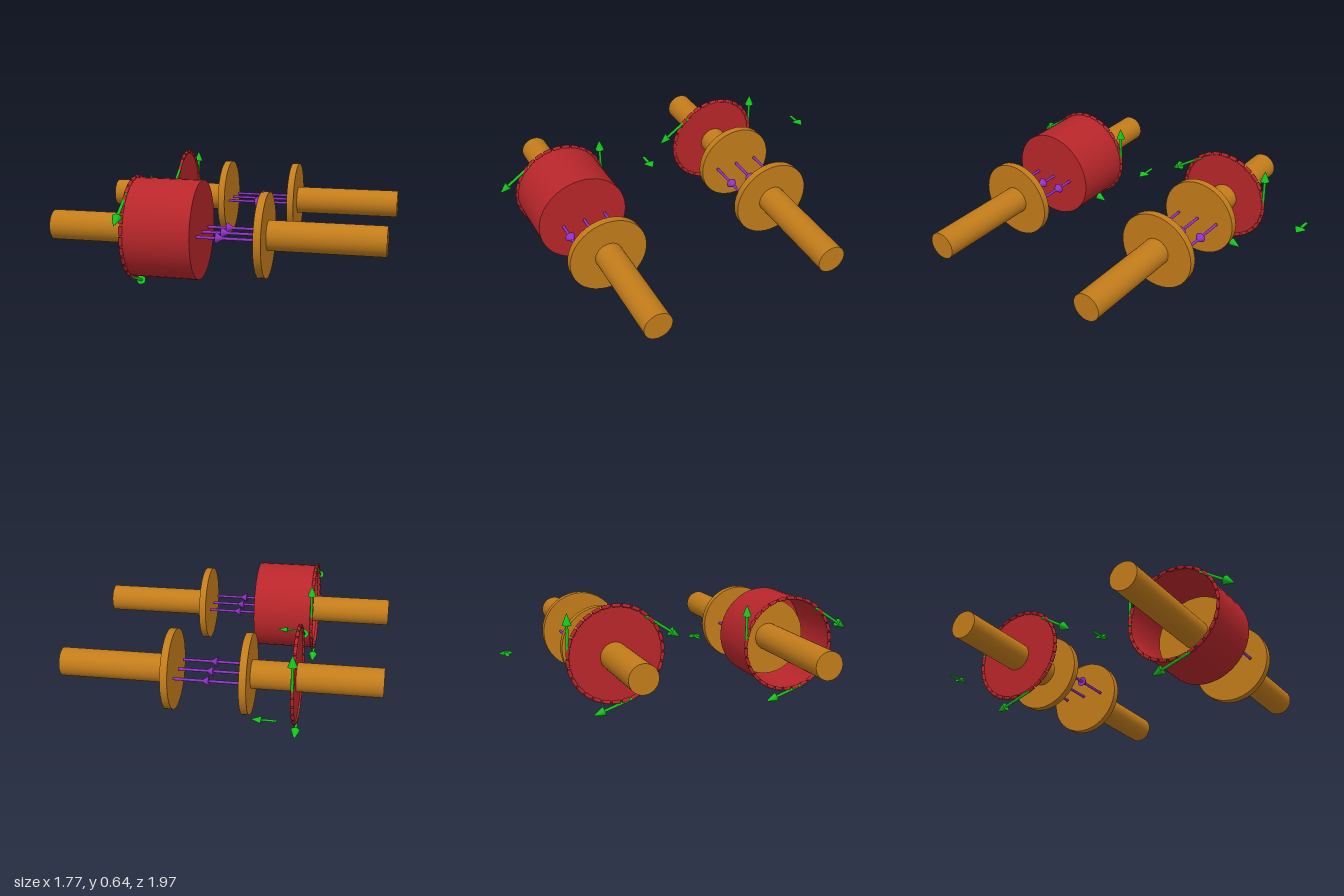
import * as THREE from 'three';

const paint = (color, side = THREE.FrontSide) => new THREE.MeshStandardMaterial({ color, side });
const COPPER = paint(0xc27c1a);
const RED = paint(0xb8262a, THREE.DoubleSide);
const GREEN = paint(0x12c41c);
const PURPLE = paint(0x9030c8);
const UP = new THREE.Vector3(0, 1, 0);

function add(parent, name, geometry, material) {
  const mesh = new THREE.Mesh(geometry, material);
  mesh.name = name;
  parent.add(mesh);
  return mesh;
}

// Cylinder lying along x from x0 to x1
function bar(parent, name, x0, x1, radius, material, open = false) {
  const geometry = new THREE.CylinderGeometry(radius, radius, x1 - x0, 40, 1, open);
  geometry.rotateZ(-Math.PI / 2).translate((x0 + x1) / 2, 0, 0);
  return add(parent, name, geometry, material);
}

// Arrow from a tail point along a direction; headAt is where the tip sits
function arrow(parent, name, tail, dir, o) {
  const g = new THREE.Group();
  g.name = name;
  g.position.set(...tail);
  g.quaternion.setFromUnitVectors(UP, new THREE.Vector3(...dir).normalize());
  const shaft = new THREE.CylinderGeometry(o.shaft, o.shaft, o.length, 12);
  add(g, 'arrowShaft', shaft.translate(0, o.length / 2, 0), o.material);
  const head = new THREE.ConeGeometry(o.radius, o.head, 20);
  add(g, 'arrowHead', head.translate(0, o.headAt - o.head / 2, 0), o.material);
  parent.add(g);
  return g;
}

// Dashed outline loop with three tangent arrows circling it
function fieldLoop(parent) {
  const loop = new THREE.Group();
  loop.name = 'fieldLoop';
  loop.position.x = -0.31;
  const count = 30, step = (Math.PI * 2) / count;
  for (let i = 0; i < count; i++) {
    const dash = new THREE.TorusGeometry(0.263, 0.01, 8, 4, step * 0.8);
    dash.rotateZ(i * step).rotateY(Math.PI / 2);
    add(loop, 'loopDash', dash, RED);
  }
  const style = { length: 0.19, shaft: 0.008, head: 0.065, radius: 0.025, headAt: 0.24, material: GREEN };
  // each entry: tail y, tail z, direction y, direction z
  for (const [y, z, dy, dz] of [
    [-0.005, -0.262, 1, -0.03], [0.202, 0.156, -0.53, 0.85], [-0.246, 0.105, -0.35, -0.937],
  ]) arrow(loop, 'fieldArrow', [0, y, z], [0, dy, dz], style);
  parent.add(loop);
}

// One plate capacitor with its surface: a flat disc or a deep cup
function capacitor(name, z, cup) {
  const g = new THREE.Group();
  g.name = name;
  g.position.z = z;

  bar(g, 'leftRod', -0.77, -0.06, 0.079, COPPER);
  bar(g, 'leftPlate', -0.065, -0.025, 0.223, COPPER);
  bar(g, 'rightPlate', 0.355, 0.395, 0.223, COPPER);
  bar(g, 'rightRod', 0.39, 1, 0.079, COPPER);

  // arrows crossing the gap, with heads at mid length
  for (const dz of [-0.125, 0, 0.125])
    arrow(g, 'gapArrow', [-0.015, 0, dz], [1, 0, 0],
      { length: 0.36, shaft: 0.008, head: 0.045, radius: 0.029, headAt: 0.208, material: PURPLE });

  const surface = new THREE.Group();
  surface.name = 'surface';
  surface.position.set(0, 0.012, 0.005);
  const disc = new THREE.CircleGeometry(0.26, 48).rotateY(Math.PI / 2);
  if (cup) {
    bar(surface, 'cupWall', -0.315, 0.045, 0.26, RED, true);
    add(surface, 'cupEnd', disc.translate(0.045, 0, 0), RED);
  } else {
    add(surface, 'flatDisc', disc.translate(-0.31, 0, 0), RED);
  }
  fieldLoop(surface);
  g.add(surface);
  return g;
}

export function createModel() {
  const model = new THREE.Group();
  model.name = 'capacitorPair';

  // both assemblies share a very slight tilt
  const tilted = new THREE.Group();
  tilted.name = 'capacitors';
  tilted.position.y = 0.349;
  tilted.rotation.set(0.0345, 0, -0.0135);
  tilted.add(capacitor('discCapacitor', -0.405, false), capacitor('cupCapacitor', 0.614, true));
  model.add(tilted);

  // small flat arrows lying behind each assembly
  for (const z of [-0.957, 0.093]) {
    const a = arrow(model, 'directionArrow', [-0.27, 0.41, z], [1, 0, 0],
      { length: 0.09, shaft: 0.01, head: 0.055, radius: 0.034, headAt: 0.13, material: GREEN });
    a.scale.x = 0.3;
  }
  return model;
}
